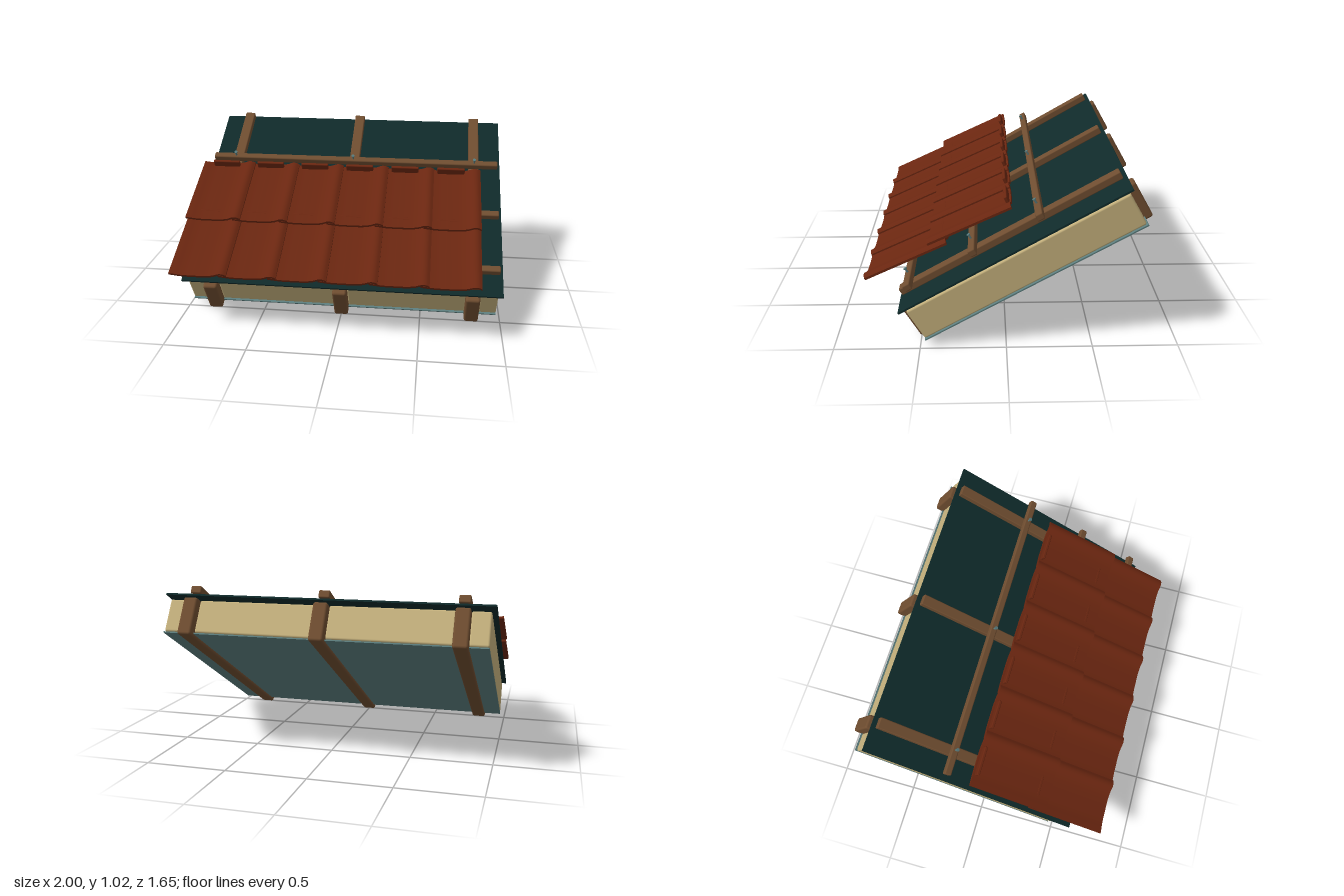
import * as THREE from 'three';
import { RoundedBoxGeometry } from 'three/addons/geometries/RoundedBoxGeometry.js';
import { toCreasedNormals } from 'three/addons/utils/BufferGeometryUtils.js';

const mat = (name, color) => {
  const m = new THREE.MeshStandardMaterial({ color });
  m.name = name;
  return m;
};

// One roof tile: shallow pan with a raised roll on its right edge, length along z
function tileGeometry(length) {
  const top = new THREE.SplineCurve([
    [0, 0.026], [0.03, 0.022], [0.08, 0.015], [0.15, 0.014], [0.22, 0.015],
    [0.27, 0.024], [0.305, 0.039], [0.33, 0.039], [0.352, 0.028],
  ].map(([x, y]) => new THREE.Vector2(x, y))).getPoints(28);
  const bottom = top.map((p) => new THREE.Vector2(p.x, p.y - 0.014)).reverse();
  const shape = new THREE.Shape([...bottom, ...top]);
  const geo = new THREE.ExtrudeGeometry(shape, { depth: length, bevelEnabled: false });
  return toCreasedNormals(geo, 0.6);
}

export function createModel() {
  const wood = mat('wood', 0x6f4d30);
  const insulationMat = mat('insulation', 0xc4b07c);
  const barrierMat = mat('vapourBarrier', 0x5c7d7d);
  const membraneMat = mat('underlay', 0x0f2a2a);
  const clay = mat('clayTile', 0x6a2610);
  const steel = mat('steel', 0x56787a);

  const model = new THREE.Group();
  model.name = 'roofSection';

  const add = (parent, name, geo, material, x, y, z) => {
    const mesh = new THREE.Mesh(geo, material);
    mesh.name = name;
    mesh.position.set(x, y, z);
    parent.add(mesh);
    return mesh;
  };
  // Box given by its extents in x, y (normal to slope) and z (down the slope)
  const slab = (parent, name, material, [x0, x1], [y0, y1], [z0, z1], radius) => {
    const size = [x1 - x0, y1 - y0, z1 - z0];
    const geo = radius ? new RoundedBoxGeometry(...size, 2, radius) : new THREE.BoxGeometry(...size);
    return add(parent, name, geo, material, (x0 + x1) / 2, (y0 + y1) / 2, (z0 + z1) / 2);
  };

  // Layers lying on the 30 degree slope
  const slope = new THREE.Group();
  slope.name = 'slopeLayers';
  slope.rotation.x = Math.PI / 6;
  model.add(slope);

  const rafterX = [-0.82, 0, 0.82];
  for (const x of rafterX) {
    slab(slope, 'rafter', wood, [x - 0.044, x + 0.044], [0.25, 0.488], [-1.1, 0.438], 0.014);
    slab(slope, 'counterBatten', wood, [x - 0.034, x + 0.034], [0.534, 0.58], [-1.055, 0.387], 0.007);
  }

  // Insulation between and beside the rafters
  const bays = [[-0.975, -0.862], [-0.778, -0.042], [0.042, 0.778], [0.862, 0.975]];
  for (const bay of bays) {
    slab(slope, 'insulation', insulationMat, bay, [0.28, 0.488], [-1.05, 0.383], 0.012);
  }
  slab(slope, 'vapourBarrier', barrierMat, [-0.975, 0.975], [0.267, 0.275], [-1.056, 0.388]);
  slab(slope, 'underlay', membraneMat, [-1, 1], [0.506, 0.517], [-1.077, 0.416]);

  // Tile battens with nails above every rafter
  const nailGeo = new THREE.CylinderGeometry(0.006, 0.006, 0.05, 10);
  const headGeo = new THREE.CylinderGeometry(0.011, 0.011, 0.006, 12);
  for (const z of [-0.566, -0.137, 0.29]) {
    slab(slope, 'tileBatten', wood, [-0.975, 0.975], [0.595, 0.637], [z - 0.022, z + 0.022], 0.008);
    for (const x of rafterX) {
      add(slope, 'nail', nailGeo, steel, x, 0.638, z);
      add(slope, 'nailHead', headGeo, steel, x, 0.664, z);
    }
  }

  // Two overlapping rows of tiles, tilted slightly flatter than the slope
  const tiles = new THREE.Group();
  tiles.name = 'tileRows';
  tiles.rotation.x = THREE.MathUtils.degToRad(25);
  model.add(tiles);
  const tileLength = 0.527;
  const tileGeo = tileGeometry(tileLength);
  for (const [y, z] of [[0.669, 0.051], [0.71, -0.375]]) {
    for (let i = 0; i < 6; i++) {
      const x = -1 + i * 0.3006;
      add(tiles, 'roofTile', tileGeo, clay, x, y, z);
      // Head rib that locks the row above
      slab(tiles, 'tileHeadRib', clay, [x + 0.07, x + 0.25], [y + 0.008, y + 0.056], [z + 0.012, z + 0.032], 0.006);
    }
  }
  return model;
}
